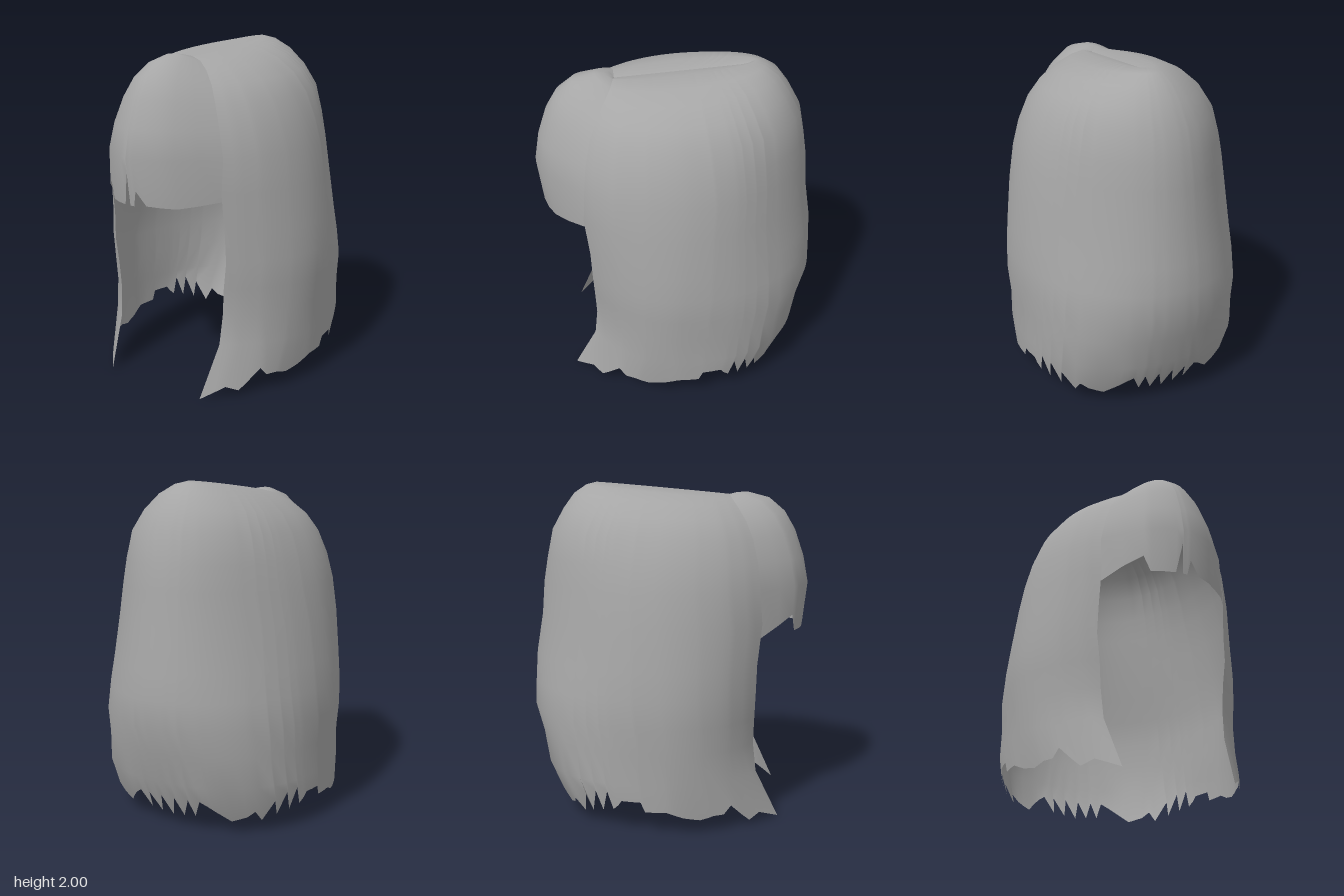
import * as THREE from 'three';

// Shell levels: [height, front edge x, front edge z, half width, back z, fullness of back corners]
const LEVELS = [
  [0.00, 0.34, 0.68, 0.63, -0.62, 0.04],
  [0.15, 0.36, 0.60, 0.685, -0.70, 0.05],
  [0.30, 0.38, 0.54, 0.69, -0.765, 0.055],
  [0.48, 0.39, 0.52, 0.69, -0.80, 0.035],
  [0.64, 0.40, 0.525, 0.705, -0.85, 0.01],
  [0.80, 0.42, 0.53, 0.70, -0.845, -0.01],
  [0.96, 0.415, 0.535, 0.685, -0.835, -0.03],
  [1.20, 0.41, 0.56, 0.655, -0.795, -0.035],
  [1.40, 0.41, 0.545, 0.62, -0.78, -0.035],
  [1.55, 0.375, 0.53, 0.58, -0.755, -0.02],
  [1.70, 0.325, 0.50, 0.52, -0.72, 0],
  [1.81, 0.27, 0.46, 0.44, -0.65, 0],
  [1.89, 0.20, 0.415, 0.335, -0.585, 0],
  [1.94, 0.13, 0.38, 0.225, -0.51, 0],
  [1.96, 0.06, 0.365, 0.10, -0.45, 0],
  [1.94, 0, 0.36, 0, -0.40, 0],
];

// Ragged hem: [position from front edge (0) to back centre (1), height]
const HEM = [
  [0, 0], [0.035, 0.03], [0.07, 0.06], [0.12, 0.03], [0.14, 0.08], [0.165, 0.15],
  [0.2, 0.1], [0.235, 0.1], [0.255, 0.09], [0.28, 0.08], [0.305, 0.09], [0.33, 0.1],
  [0.355, 0.12], [0.38, 0.14], [0.415, 0.14], [0.45, 0.14], [0.46, 0.2], [0.49, 0.2],
  [0.52, 0.2], [0.535, 0.17], [0.555, 0.14], [0.56, 0.25], [0.595, 0.12], [0.6, 0.24],
  [0.64, 0.1], [0.645, 0.2], [0.69, 0.07], [0.715, 0.14], [0.74, 0.1], [0.765, 0.085],
  [0.79, 0.07], [0.815, 0.105], [0.84, 0.14], [0.86, 0.17], [0.885, 0.2], [0.912, 0.09],
  [0.925, 0.2], [0.955, 0.08], [0.975, 0.2], [1, 0.07],
];

// Fringe hem: [position across (-1 to 1), height]
const FRINGE_HEM = [
  [-1, 1.12], [-0.8, 1.18], [-0.58, 1.23], [-0.49, 1.13], [-0.33, 1.13], [-0.17, 1.13],
  [-0.08, 1.32], [-0.07, 1.13], [0, 1.13], [0.05, 1.22], [0.2, 1.14], [0.4, 1.135],
  [0.58, 1.13], [0.8, 1.145], [1, 1.16],
];

// Centre line of the fringe, one [height, z] per shell level from FRINGE_START up
const FRINGE_START = 8;
const FRINGE_CENTRE = [
  [1.40, 0.85], [1.56, 0.82], [1.72, 0.765], [1.83, 0.70],
  [1.91, 0.605], [1.945, 0.47], [1.94, 0.41], [1.915, 0.36],
];

// Level interpolated at a height (used below the crown only)
function levelAt(y) {
  const i = LEVELS.findIndex((l) => l[0] > y);
  const a = LEVELS[i - 1], b = LEVELS[i];
  const t = (y - a[0]) / (b[0] - a[0]);
  return a.map((v, k) => v + (b[k] - v) * t);
}

// Point on a level: u runs from the front edge to the back centre
function shellPoint([y, xf, zf, w, zb, fullness], u, side) {
  const a0 = w > 0 ? Math.asin(xf / w) : 0;
  const a = a0 + (Math.PI - a0) * u;
  const c = Math.cos(a);
  const swell = c > 0 ? 1 : 1 + fullness * Math.sin(2 * a) ** 2;
  const x = u === 1 ? 0 : w * Math.sin(a) * swell;
  const z = (c > 0 ? zf / Math.cos(a0) : -zb) * c * swell;
  // The crown rises toward the back
  const tilt = 0.09 * THREE.MathUtils.clamp((y - 1.6) / 0.34, 0, 1);
  return [side * x, y - tilt * z, z];
}

// Smooth open surface from rows of points
function loft(rows) {
  const n = rows[0].length;
  const index = [];
  for (let r = 0; r < rows.length - 1; r++) {
    for (let c = 0; c < n - 1; c++) {
      const a = r * n + c, b = a + 1, d = a + n, e = d + 1;
      index.push(a, b, d, b, e, d);
    }
  }
  const geometry = new THREE.BufferGeometry();
  geometry.setAttribute('position', new THREE.Float32BufferAttribute(rows.flat(2), 3));
  geometry.setIndex(index);
  geometry.computeVertexNormals();
  return geometry;
}

// Long hair: left front edge, round the back, to the right front edge
function hairShell() {
  const columns = [
    ...HEM.map(([u, h]) => [u, h, 1]),
    ...HEM.slice(0, -1).reverse().map(([u, h]) => [u, h, -1]),
  ];
  const rows = [columns.map(([u, h, side]) => shellPoint(levelAt(h), u, side))];
  for (const level of LEVELS.slice(2)) {
    rows.push(columns.map(([u, , side]) => shellPoint(level, u, side)));
  }
  return loft(rows);
}

// Bulging fringe that shares its side edges with the shell
function fringe() {
  const point = (edge, [cy, cz], s) => {
    const bulge = 1 - Math.abs(s) ** 2.1;
    return [
      edge[0] * s,
      edge[1] + (cy - edge[1]) * bulge,
      edge[2] + (cz - edge[2]) * bulge,
    ];
  };
  const rows = [FRINGE_HEM.map(([s, h]) => {
    const z = 0.82 + 0.03 * (h - 1.13) / 0.27;
    return point(shellPoint(levelAt(h), 0, 1), [h, z], s);
  })];
  FRINGE_CENTRE.forEach((centre, i) => {
    const edge = shellPoint(LEVELS[FRINGE_START + i], 0, 1);
    rows.push(FRINGE_HEM.map(([s]) => point(edge, centre, s)));
  });
  return loft(rows);
}

export function createModel() {
  const hair = new THREE.MeshStandardMaterial({ color: 0xa6a6a6, side: THREE.DoubleSide });
  hair.name = 'hairGrey';

  const model = new THREE.Group();
  model.name = 'wig';
  const add = (name, geometry) => {
    const mesh = new THREE.Mesh(geometry, hair);
    mesh.name = name;
    model.add(mesh);
  };
  add('longHair', hairShell());
  add('fringe', fringe());
  return model;
}
